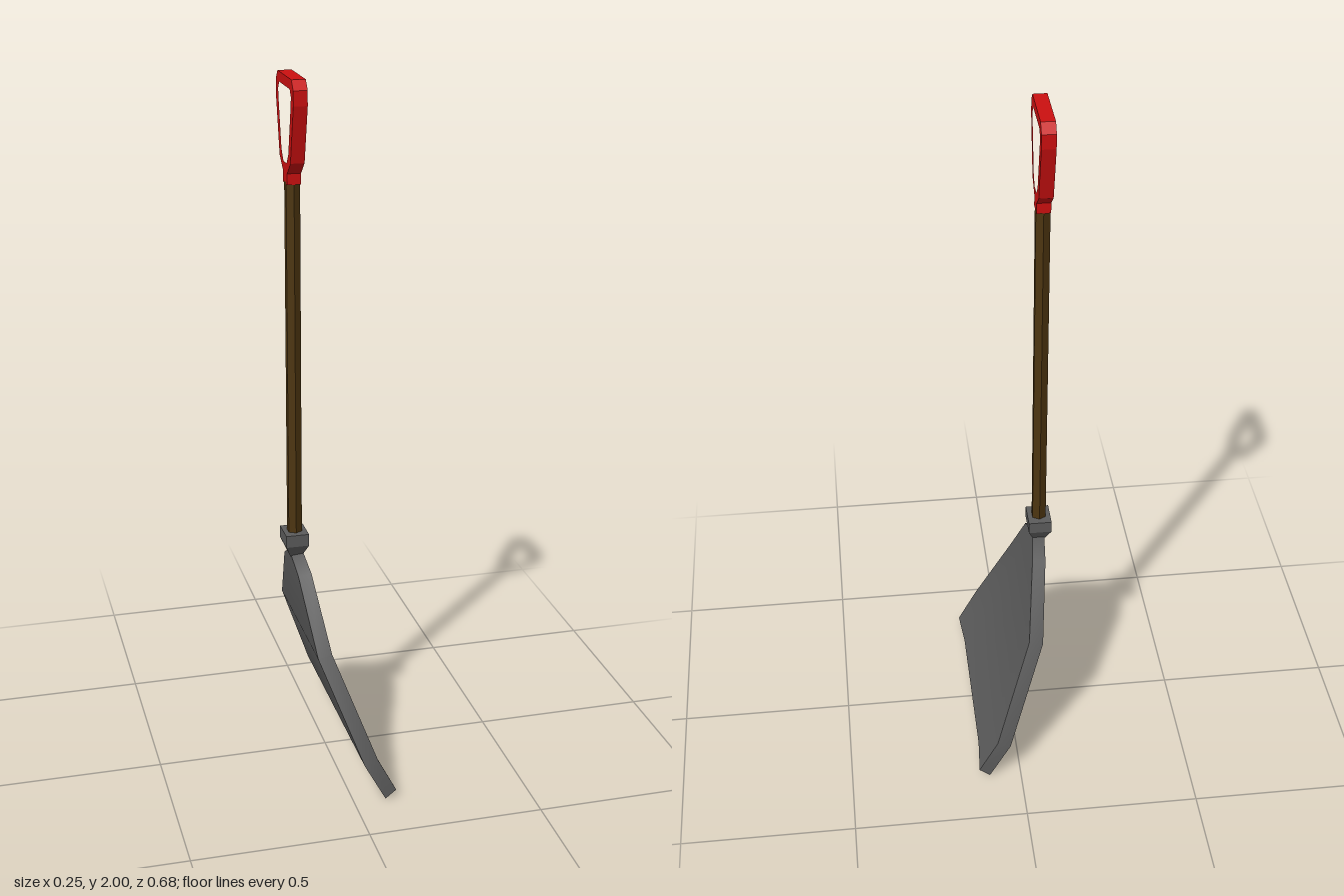
import * as THREE from 'three';
import { toCreasedNormals } from 'three/addons/utils/BufferGeometryUtils.js';

const AXIS = -0.09; // x of the shaft

const metal = new THREE.MeshStandardMaterial({ color: 0x5c5c5c, flatShading: true });
const bladeMetal = new THREE.MeshStandardMaterial({ color: 0x5c5c5c });
const wood = new THREE.MeshStandardMaterial({ color: 0x4d3510, flatShading: true });
const red = new THREE.MeshStandardMaterial({ color: 0xcc1010, flatShading: true });

function part(name, geometry, material, x = 0, y = 0) {
  const mesh = new THREE.Mesh(geometry, material);
  mesh.name = name;
  mesh.position.set(x, y, 0);
  return mesh;
}

// Rectangular taper from y0 to y1; sizes are half-extents in x and z
function taper(y0, x0, z0, y1, x1, z1) {
  const g = new THREE.BoxGeometry(2, 1, 2);
  const p = g.attributes.position;
  for (let i = 0; i < p.count; i++) {
    const top = p.getY(i) > 0;
    p.setXYZ(i, p.getX(i) * (top ? x1 : x0), top ? y1 : y0, p.getZ(i) * (top ? z1 : z0));
  }
  return g;
}

// Curved thick plate lofted through cross-sections from neck to lip
function bladeGeometry() {
  // half width, front x, front y, back x, back y, dish depth
  const rows = [
    [0.02, -0.07, 0.648, -0.105, 0.642, 0],
    [0.087, -0.062, 0.61, -0.1, 0.605, 0],
    [0.227, -0.037, 0.42, -0.077, 0.41, 0],
    [0.338, 0.068, 0.13, 0.03, 0.115, 0.004],
    [0.338, 0.123, 0.025, 0.092, 0.0, 0.008],
  ];
  const cols = [-1, -0.67, 0, 0.67, 1];
  const n = cols.length * 2;
  const pos = [], index = [];
  for (const [w, fx, fy, bx, by, dish] of rows) {
    for (const t of cols) pos.push(fx - (Math.abs(t) < 1 ? dish : 0), fy, t * w);
    for (const t of cols) pos.push(bx, by, -t * w);
  }
  for (let i = 0; i < rows.length - 1; i++) {
    for (let j = 0; j < n; j++) {
      const a = i * n + j, b = i * n + (j + 1) % n;
      index.push(a, b, b + n, a, b + n, a + n);
    }
  }
  // End caps
  const last = (rows.length - 1) * n;
  for (let k = 0; k < cols.length - 1; k++) {
    const a = k, b = k + 1, c = n - 2 - k, d = n - 1 - k;
    index.push(a, c, b, a, d, c);
    index.push(last + a, last + b, last + c, last + a, last + c, last + d);
  }
  const g = new THREE.BufferGeometry();
  g.setAttribute('position', new THREE.Float32BufferAttribute(pos, 3));
  g.setIndex(index);
  return toCreasedNormals(g, 0.6);
}

// Mirrored outline from one half, listed top to bottom
function mirrored(half) {
  const other = half.map(([z, y]) => [-z, y]).reverse();
  return half.concat(other).map(([z, y]) => new THREE.Vector2(z, y));
}

// Open D-shaped grip, extruded across x
function gripGeometry() {
  const shape = new THREE.Shape(mirrored([
    [0.08, 2], [0.1, 1.975], [0.1, 1.935], [0.063, 1.78], [0.023, 1.745], [0.023, 1.715],
  ]));
  shape.holes.push(new THREE.Path(mirrored([
    [0.06, 1.973], [0.073, 1.955], [0.071, 1.935], [0.04, 1.8], [0.018, 1.772],
  ])));
  const g = new THREE.ExtrudeGeometry(shape, { depth: 0.038, bevelEnabled: false });
  g.translate(0, 0, -0.019);
  g.rotateY(Math.PI / 2);
  return g;
}

export function createModel() {
  const group = new THREE.Group();
  group.name = 'shovel';

  group.add(part('blade', bladeGeometry(), bladeMetal));

  // Socket joining blade and shaft
  const socket = new THREE.Group();
  socket.name = 'socket';
  socket.add(part('socketCollar', taper(0.675, 0.033, 0.04, 0.71, 0.033, 0.04), metal, AXIS));
  socket.add(part('socketNeck', taper(0.638, 0.017, 0.02, 0.675, 0.033, 0.04), metal, AXIS));
  group.add(socket);

  // Six-sided shaft
  group.add(part('shaft', new THREE.CylinderGeometry(0.022, 0.022, 1.03, 6), wood, AXIS, 1.205));

  group.add(part('grip', gripGeometry(), red, AXIS));
  return group;
}
